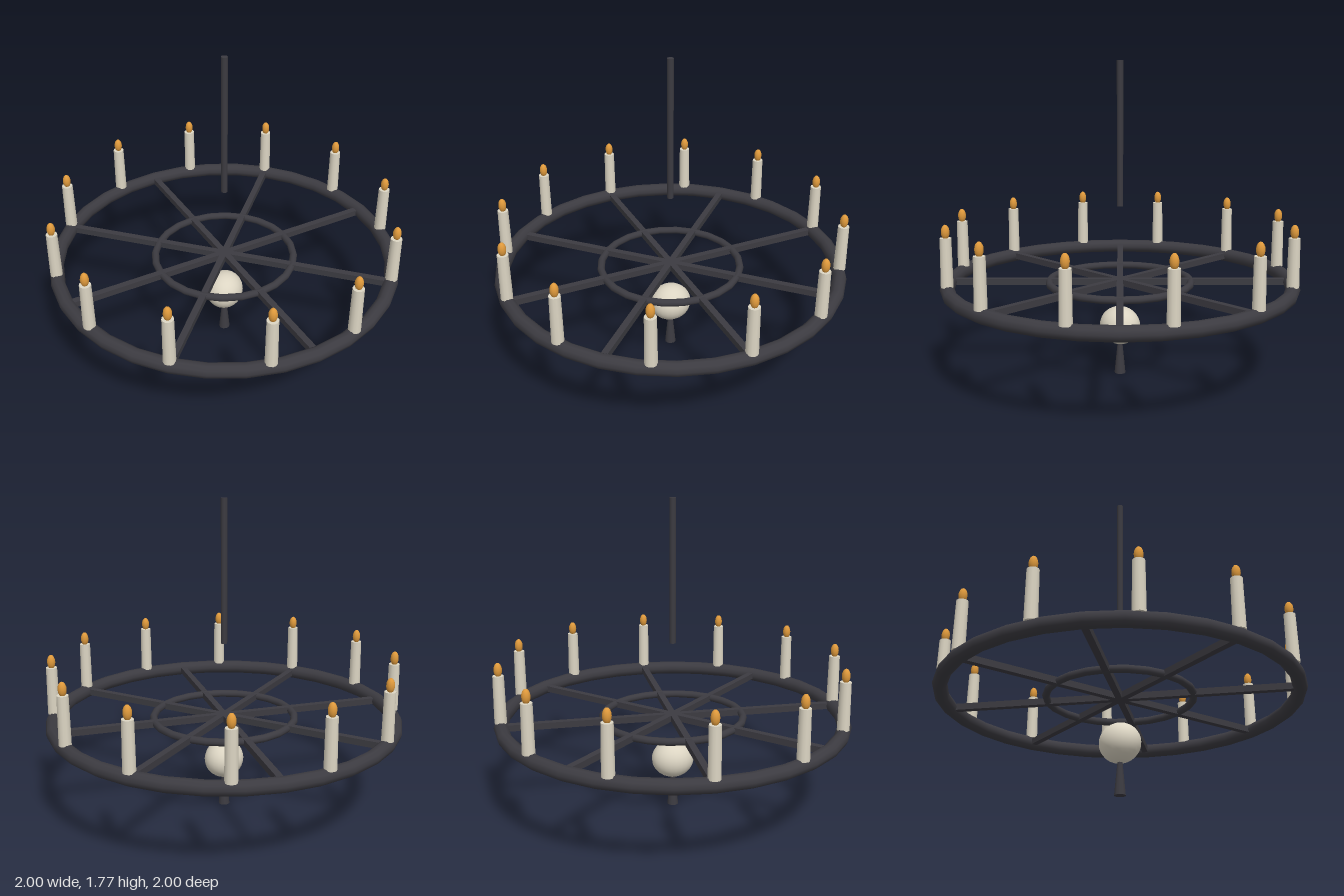
import * as THREE from 'three';

const RING_Y = 0.54, RING_R = 0.96, RING_TUBE = 0.04;

export function createModel() {
  const model = new THREE.Group();
  model.name = 'chandelier';
  const iron = new THREE.MeshStandardMaterial({ color: 0x3c3b41 });
  const wax = new THREE.MeshStandardMaterial({ color: 0xdcd5c3 });
  const fire = new THREE.MeshStandardMaterial({ color: 0xe09a3c });

  const add = (name, geometry, material, x = 0, y = 0, z = 0, parent = model) => {
    const mesh = new THREE.Mesh(geometry, material);
    mesh.name = name;
    mesh.position.set(x, y, z);
    parent.add(mesh);
    return mesh;
  };

  // Outer and inner rings, lying flat
  const ring = (name, radius, tube, segments) =>
    add(name, new THREE.TorusGeometry(radius, tube, 10, segments).rotateX(Math.PI / 2), iron, 0, RING_Y, 0);
  ring('outerRing', RING_R, RING_TUBE, 32);
  ring('innerRing', 0.4, 0.021, 24);

  // Four crossing bars make eight spokes
  const barGeometry = new THREE.BoxGeometry(1.88, 0.036, 0.036);
  for (let i = 0; i < 4; i++) {
    add('spokeBar', barGeometry, iron, 0, RING_Y, 0).rotation.y = (i * Math.PI) / 4;
  }

  // Twelve candles with flames around the outer ring
  const candleGeometry = new THREE.CylinderGeometry(0.031, 0.034, 0.27, 12);
  const flameGeometry = new THREE.SphereGeometry(0.023, 12, 8).scale(1, 1.75, 1);
  for (let i = 0; i < 12; i++) {
    const a = (i * Math.PI) / 6;
    const candle = new THREE.Group();
    candle.name = 'candle';
    candle.position.set(Math.sin(a) * RING_R, 0, Math.cos(a) * RING_R);
    model.add(candle);
    add('candleStick', candleGeometry, wax, 0, 0.705, 0, candle);
    add('flame', flameGeometry, fire, 0, 0.872, 0, candle);
  }

  // Hanging rod above the hub
  add('hangingRod', new THREE.CylinderGeometry(0.018, 0.018, 0.8, 10), iron, 0, 1.37, 0);

  // Pale globe below the hub and its flared finial
  add('globe', new THREE.SphereGeometry(0.108, 24, 16).scale(1.01, 1, 1.12), wax, 0, 0.283, 0);
  add('finial', new THREE.CylinderGeometry(0.012, 0.032, 0.2, 10), iron, 0, 0.1, 0);

  return model;
}
